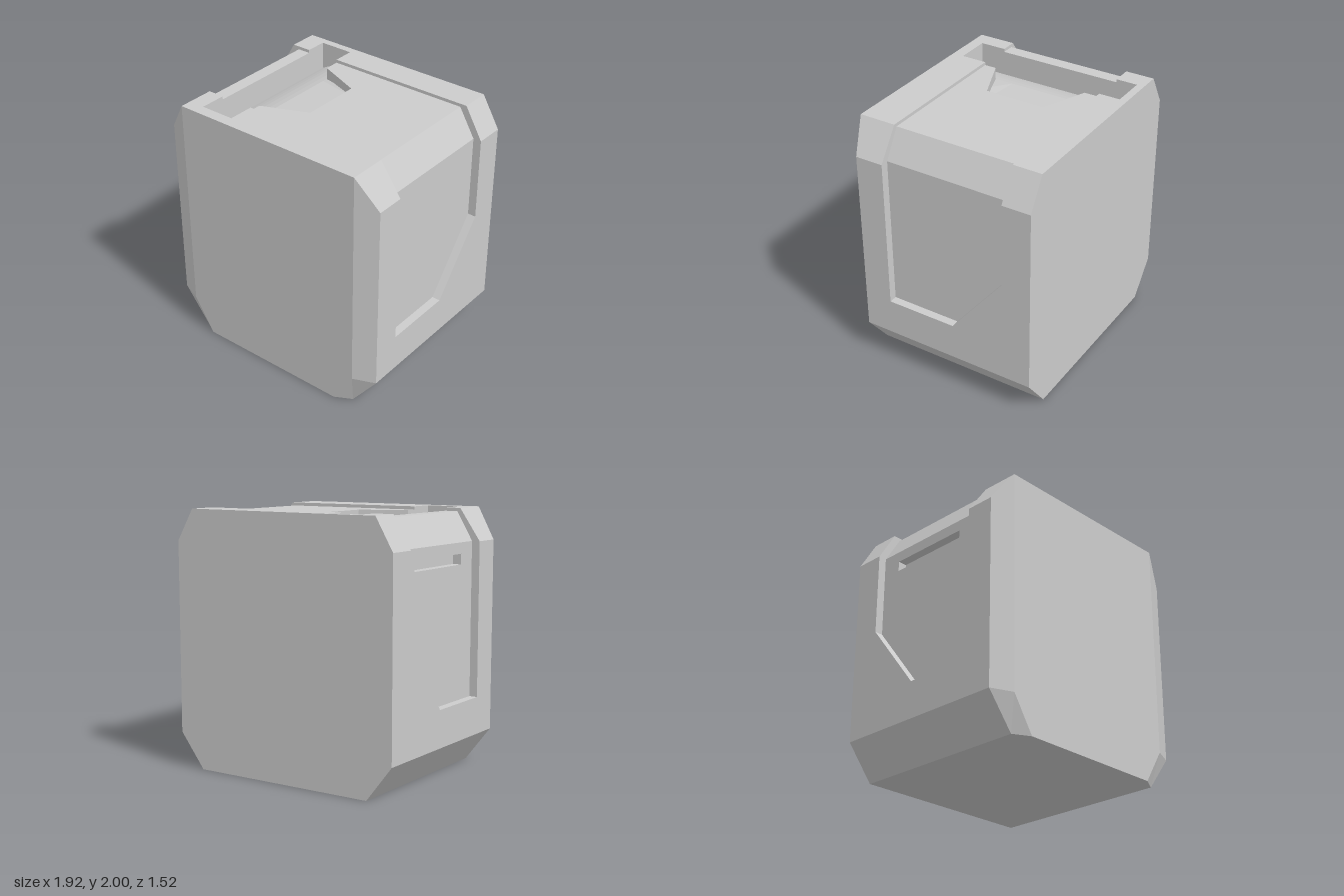
import * as THREE from 'three';

// Curved floor of the top well: deep beside its outer wall, levelling off inward
const floorY = (x) => 1.91 - 0.13 * Math.pow(Math.max(0, (-0.03 - x) / 0.63), 2.6);

// Height of the ledge below the side recess, sloping up towards the back
const ledgeY = (z) => 0.56 + 0.54 * Math.min(1, Math.max(0, (-0.1 - z) / 0.43));

const WELL_X = [-0.39, -0.45, -0.51, -0.56, -0.61, -0.66];

// Outlines: b = bottom, s = side, i = inset side, t = top half widths; y = top height
const BACK = { b: 0.75, s: 0.96, i: 0.96, t: 0.817, y: 2 };
const MID = { b: 0.75, s: 0.96, i: 0.895, t: 0.765, y: 1.975 };
const FRONT = { b: 0.75, s: 0.96, i: 0.96, t: 0.79, y: 2 };
const FACE = { b: 0.62, s: 0.79, i: 0.79, t: 0.79, y: 2 };

// One closed cross-section, counter-clockwise seen from the front
function ring(z, o, { well = -0.385, open = true, slot = 0 } = {}) {
  const h = ledgeY(z);
  const side = (d) => [
    [o.b, 0], [o.s, 0.27], [o.s, h], [o.i, h],
    [o.i, 1.59], [o.i - d, 1.59], [o.i - d, 1.67], [o.i, 1.67],
    [o.i, 1.755], [o.t, o.y],
  ];
  const floor = [well, ...WELL_X].map((x) => [x, open ? floorY(x) : o.y]);
  const left = side(slot).reverse().map(([x, y]) => [-x, y]);
  return [...side(0), [well, o.y], ...floor, [-0.66, o.y], ...left]
    .map(([x, y]) => new THREE.Vector3(x, y, z));
}

// Skin the cross-sections; repeated z values make the walls of steps and pockets
function loft(rings) {
  const pos = [];
  const tri = (a, b, c) => {
    const area = b.clone().sub(a).cross(c.clone().sub(a)).length();
    if (area > 1e-7) for (const p of [a, b, c]) pos.push(p.x, p.y, p.z);
  };
  const n = rings[0].length;
  for (let k = 0; k < rings.length - 1; k++) {
    for (let j = 0; j < n; j++) {
      const a0 = rings[k][j], b0 = rings[k][(j + 1) % n];
      const a1 = rings[k + 1][j], b1 = rings[k + 1][(j + 1) % n];
      if (a0.x > 0) { tri(a0, b0, b1); tri(a0, b1, a1); }
      else { tri(a0, b0, a1); tri(b0, b1, a1); }
    }
  }
  // End caps
  const first = rings[0], last = rings[rings.length - 1];
  const c0 = new THREE.Vector3(0, 1, first[0].z), c1 = new THREE.Vector3(0, 1, last[0].z);
  for (let j = 0; j < n; j++) {
    const k = (j + 1) % n;
    tri(c0, first[k], first[j]);
    tri(c1, last[j], last[k]);
  }
  const geo = new THREE.BufferGeometry();
  geo.setAttribute('position', new THREE.Float32BufferAttribute(pos, 3));
  geo.computeVertexNormals();
  return geo;
}

export function createModel() {
  const group = new THREE.Group();
  group.name = 'chamferedCube';
  const slot = 0.07, wide = -0.03;
  const closed = { open: false };

  const housing = new THREE.Mesh(
    loft([
      // Back rim and the end of the well
      ring(-0.76, BACK, closed), ring(-0.7, BACK, closed),
      ring(-0.7, BACK), ring(-0.53, BACK),
      // Recessed middle band with the widened well and the slot in the right side
      ring(-0.53, MID), ring(-0.41, MID),
      ring(-0.37, MID, { well: -0.289 }), ring(-0.37, MID, { well: -0.289, slot }),
      ring(-0.26, MID, { well: wide, slot }), ring(-0.1, MID, { well: wide, slot }),
      ring(0.22, MID, { well: wide, slot }),
      ring(0.3, MID, { well: -0.219, slot }), ring(0.3, MID, { well: -0.219 }),
      ring(0.37, MID), ring(0.465, MID),
      // Front rim, end of the well and chamfered face
      ring(0.465, FRONT), ring(0.67, FRONT),
      ring(0.67, FRONT, closed), ring(0.69, FRONT, closed),
      ring(0.76, FACE, closed),
    ]),
    new THREE.MeshStandardMaterial({ color: 0xcccccc, flatShading: true }),
  );
  housing.name = 'housing';
  group.add(housing);
  return group;
}
